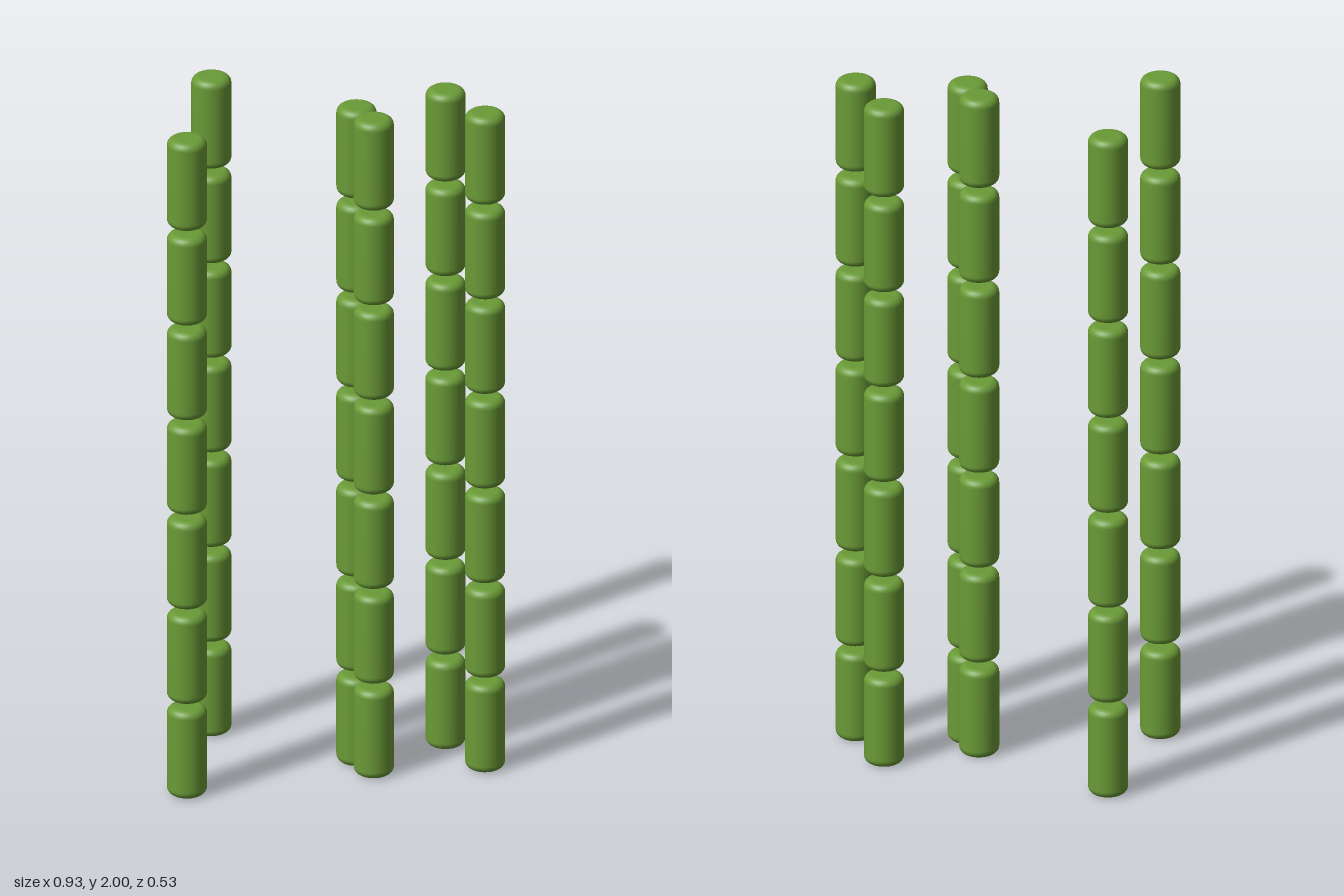
import * as THREE from 'three';

const RADIUS = 0.056, HEIGHT = 0.267, BEVEL = 0.022, COUNT = 7;
const PITCH = (2 - HEIGHT) / (COUNT - 1);

// Cylinder with rounded rims, standing on y = 0
function segmentGeometry() {
  const points = [new THREE.Vector2(0, 0)];
  const arc = (cy, start) => {
    for (let i = 0; i <= 6; i++) {
      const a = start + (i / 6) * Math.PI / 2;
      points.push(new THREE.Vector2(RADIUS - BEVEL + BEVEL * Math.cos(a), cy + BEVEL * Math.sin(a)));
    }
  };
  arc(BEVEL, -Math.PI / 2);
  arc(HEIGHT - BEVEL, 0);
  points.push(new THREE.Vector2(0, HEIGHT));
  return new THREE.LatheGeometry(points, 32);
}

export function createModel() {
  const model = new THREE.Group();
  model.name = 'bambooStalks';
  const green = new THREE.MeshStandardMaterial({ color: 0x6b9b37 });
  green.name = 'bamboo green';
  const geometry = segmentGeometry();

  // Ground position (x, z) of each stalk
  const spots = [
    [-0.358, -0.21], [-0.411, 0.206], [0.051, -0.027],
    [0.102, 0.053], [0.294, -0.147], [0.409, 0.003],
  ];
  spots.forEach(([x, z], s) => {
    const stalk = new THREE.Group();
    stalk.name = `stalk${s + 1}`;
    stalk.position.set(x, 0, z);
    // Stacked segments with narrow gaps
    for (let i = 0; i < COUNT; i++) {
      const segment = new THREE.Mesh(geometry, green);
      segment.name = `segment${i + 1}`;
      segment.position.y = i * PITCH;
      stalk.add(segment);
    }
    model.add(stalk);
  });
  return model;
}
